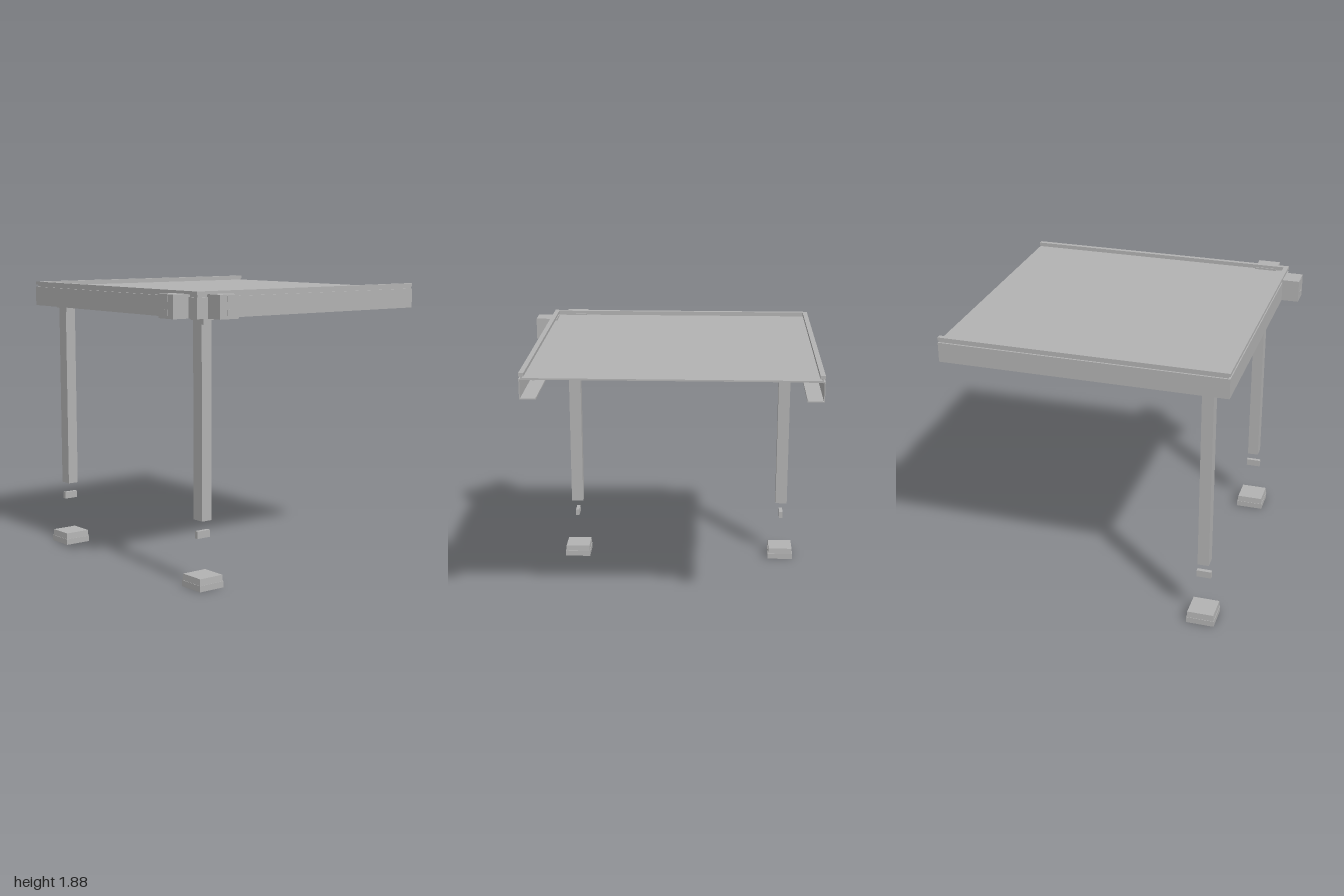
import * as THREE from 'three';

// Canopy roof on two posts, open along its +x edge
export function createModel() {
  const model = new THREE.Group();
  model.name = 'canopy';
  const metal = new THREE.MeshStandardMaterial({ color: 0xb2b2b2 });
  metal.name = 'greyMetal';

  const add = (name, geometry, parent = model) => {
    const mesh = new THREE.Mesh(geometry, metal);
    mesh.name = name;
    parent.add(mesh);
    return mesh;
  };
  // Box given by its limits on each axis
  const box = (name, [x0, x1], [y0, y1], [z0, z1], parent) => {
    const mesh = add(name, new THREE.BoxGeometry(x1 - x0, y1 - y0, z1 - z0), parent);
    mesh.position.set((x0 + x1) / 2, (y0 + y1) / 2, (z0 + z1) / 2);
    return mesh;
  };

  const X0 = -0.875, X1 = 0.995, Z0 = -0.997, Z1 = 0.87;

  // Roof sheet and the purlin beneath it
  box('roofPanel', [X0 + 0.015, X1], [1.837, 1.847], [Z0 + 0.015, Z1 - 0.015]);
  box('purlin', [0.06, 0.09], [1.77, 1.837], [-0.89, 0.775]);

  // Folded channel beam: d = distance inward from the outer face, y = height
  const profile = [
    [0, 1.712], [0.105, 1.712], [0.105, 1.724], [0.099, 1.724], [0.099, 1.718],
    [0.006, 1.718], [0.006, 1.834], [0.1, 1.834], [0.1, 1.84], [0.02, 1.84],
    [0.02, 1.857], [0.032, 1.857], [0.032, 1.878], [0, 1.878], [0, 1.857],
    [0.012, 1.857], [0.012, 1.842], [0, 1.842],
  ];
  const channel = (name, length, miterStart, miterEnd) => {
    const shape = new THREE.Shape(profile.map(([d, y]) => new THREE.Vector2(d, y)));
    const geometry = new THREE.ExtrudeGeometry(shape, { depth: length, bevelEnabled: false });
    // Mitre the ends where beams meet at a corner
    const p = geometry.attributes.position;
    for (let i = 0; i < p.count; i++) {
      const atEnd = p.getZ(i) > length / 2;
      if (atEnd && miterEnd) p.setZ(i, length - p.getX(i));
      if (!atEnd && miterStart) p.setZ(i, p.getX(i));
    }
    geometry.computeVertexNormals();
    return add(name, geometry);
  };
  const side = channel('sideBeam', Z1 - Z0, true, true);
  side.position.set(X0, 0, Z0);
  const front = channel('frontBeam', X1 - X0, true, false);
  front.rotation.y = Math.PI / 2;
  front.position.set(X0, 0, Z1);
  // The back beam runs the other way, so its mitre is at its far end
  const back = channel('backBeam', X1 - X0, false, true);
  back.rotation.y = -Math.PI / 2;
  back.position.set(X1, 0, Z0);

  // Square blocks on the outer faces of the front corner
  const endBlock = (name, x, z, turn) => {
    const group = new THREE.Group();
    group.name = name;
    box('block', [-0.075, 0.075], [1.712, 1.86], [-0.075, 0.075], group);
    for (const y of [1.834, 1.75]) {
      box('socketPlate', [-0.019, 0.019], [y - 0.019, y + 0.019], [0.073, 0.077], group);
    }
    group.position.set(x, 0, z);
    group.rotation.y = turn;
    model.add(group);
  };
  endBlock('frontBlock', -0.715, 0.907, 0);
  endBlock('sideBlock', -0.915, 0.71, -Math.PI / 2);

  // Tapered footing with a straight base
  const footing = (parent) => {
    box('footingBase', [-0.094, 0.094], [0, 0.04], [-0.094, 0.094], parent);
    const geometry = new THREE.BoxGeometry(0.182, 0.042, 0.182);
    const p = geometry.attributes.position;
    for (let i = 0; i < p.count; i++) {
      if (p.getY(i) > 0) {
        p.setX(i, p.getX(i) * 0.97);
        p.setZ(i, p.getZ(i) * 0.97);
      }
    }
    geometry.computeVertexNormals();
    add('footingTop', geometry, parent).position.y = 0.061;
  };

  // Post sets; s points from the post to its roof corner along z
  for (const [name, z, s] of [['frontPost', 0.718, 1], ['backPost', -0.84, -1]]) {
    const group = new THREE.Group();
    group.name = name;
    group.position.set(-0.717, 0, z);
    model.add(group);
    box('post', [-0.0375, 0.0375], [0.435, 1.695], [-0.043, 0.043], group);
    box('postCap', [-0.049, 0.049], [1.694, 1.714], [-0.056, 0.056], group);
    box('tongue', [-0.049, 0.049], [0.32, 0.367], [-0.013, 0.013], group);
    footing(group);
    // Corner gusset, diagonal brace and hanging tab
    box('gusset', [-0.14, 0.09], [1.826, 1.833], [-0.115, 0.115], group);
    const brace = box('brace', [-0.19, 0.19], [1.714, 1.722], [-0.012, 0.012], group);
    brace.rotation.y = -s * Math.PI / 4;
    box('tab', [-0.068, -0.05], [1.672, 1.714], s > 0 ? [0.04, 0.102] : [0.04, 0.1], group);
  }

  return model;
}
